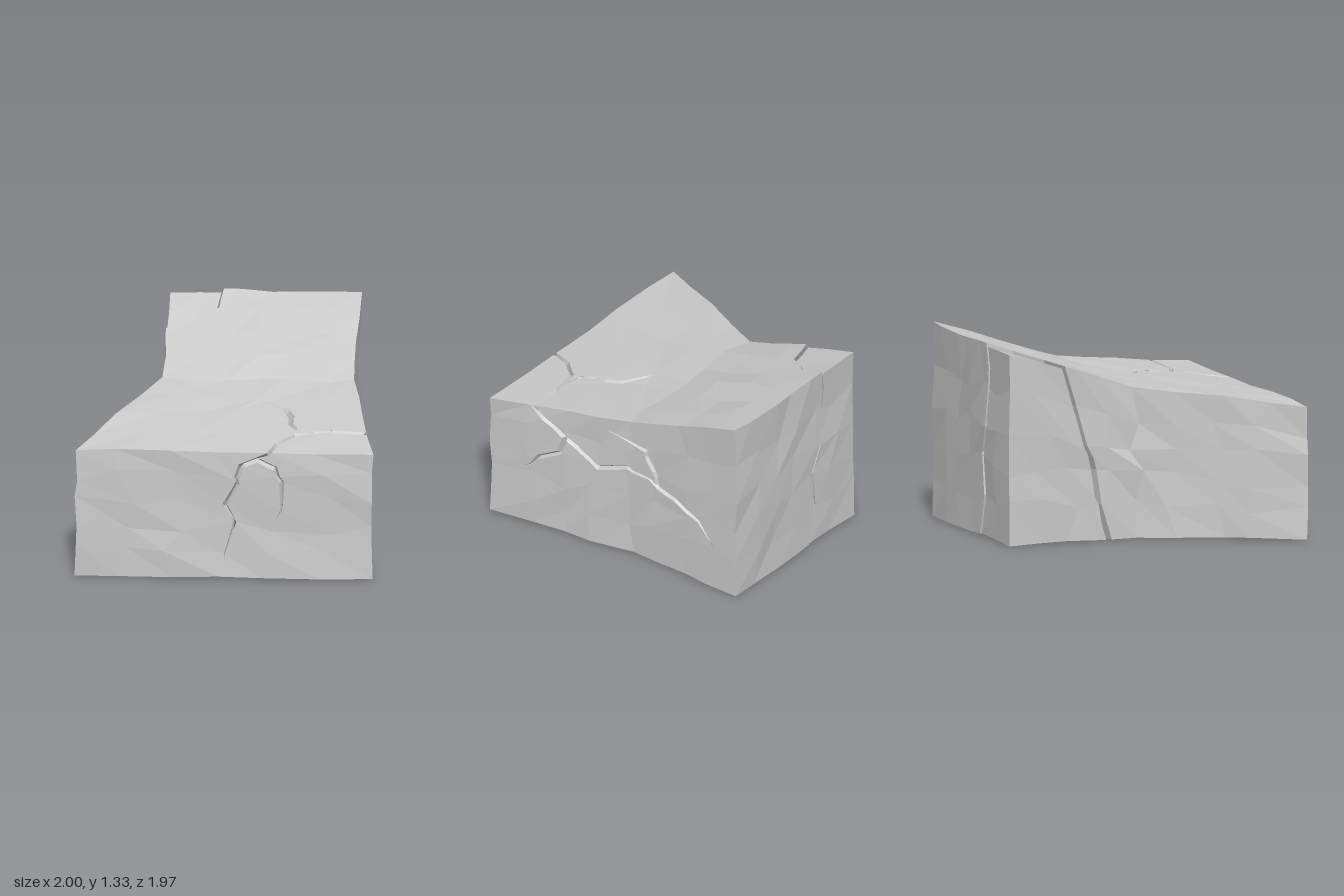
import * as THREE from 'three';

// Block profile at stations along z: left edge, right edge and height
const ZS = [-0.98, -0.75, -0.52, -0.28, -0.07, 0.18, 0.42, 0.68, 0.97];
const LEFT = [-0.47, -0.47, -0.47, -0.47, -0.475, -0.61, -0.73, -0.86, -0.995];
const RIGHT = [0.81, 0.81, 0.81, 0.81, 0.815, 0.86, 0.895, 0.945, 0.995];
const HEIGHT = [1.325, 1.26, 1.185, 1.105, 1.035, 1.0, 0.975, 0.945, 0.91];
const BASE = 0.013, N = [6, 5, 8];
const WIDTH = 0.017, DEPTH = 0.03;

const clamp = THREE.MathUtils.clamp, lerp = THREE.MathUtils.lerp;
const V2 = (x, y) => new THREE.Vector2(x, y);
const V3 = (x, y, z) => new THREE.Vector3(x, y, z);
const noise = (i, j, k, c) => {
  const s = Math.sin(i * 12.99 + j * 78.23 + k * 37.72 + c * 51.13) * 43758.55;
  return (s - Math.floor(s)) * 2 - 1;
};
const sample = (a, k) => {
  const n = clamp(Math.floor(k), 0, 7);
  return lerp(a[n], a[n + 1], k - n);
};

// Lattice node of the uneven block
function node(...c) {
  const p = c.map((v, a) => (v > 0 && v < N[a] ? v + noise(...c, a) * 0.25 : v));
  const [i, j, k] = p;
  const out = [lerp(sample(LEFT, k), sample(RIGHT, k), i / N[0]),
    lerp(BASE, sample(HEIGHT, k), j / N[1]), sample(ZS, k)];
  return V3(...out.map((v, a) => v + (c[a] === 0 || c[a] === N[a] ? noise(...c, a + 5) * 0.01 : 0)));
}

// World position to lattice coordinates
function toLattice([x, y, z]) {
  let n = 0;
  while (n < 7 && z > ZS[n + 1]) n++;
  const k = clamp(n + (z - ZS[n]) / (ZS[n + 1] - ZS[n]), 0, 8);
  const l = sample(LEFT, k), r = sample(RIGHT, k);
  return [clamp((x - l) / (r - l), 0, 1) * N[0],
    clamp((y - BASE) / (sample(HEIGHT, k) - BASE), 0, 1) * N[1], k];
}

// One face of the block: a and b are its in-plane axes
function makeFace(a, b, fixed, value, flip) {
  const at = (u, v) => {
    const c = [0, 0, 0];
    c[a] = u; c[b] = v; c[fixed] = value;
    return node(...c);
  };
  const point = ({ x: u, y: v }) => {
    const m = clamp(Math.floor(u), 0, N[a] - 1), n = clamp(Math.floor(v), 0, N[b] - 1);
    const fu = u - m, fv = v - n, p = at(m + 1, n), q = at(m, n + 1);
    const low = fu + fv <= 1, o = low ? at(m, n) : at(m + 1, n + 1);
    return o.clone().addScaledVector((low ? p : q).sub(o), low ? fu : 1 - fu)
      .addScaledVector((low ? q : p).sub(o), low ? fv : 1 - fv);
  };
  const locate = (x, y) => {
    const w = [0, 0, value ? 0.97 : -0.98];
    w[a] = x; w[b] = y;
    let uv;
    for (let n = 0; n < 6; n++) {
      const l = toLattice(w);
      uv = V2(l[a], l[b]);
      const p = point(uv).toArray();
      w[a] += x - p[a]; w[b] += y - p[b];
    }
    return uv;
  };
  const normal = V3(0, 0, 0).setComponent(fixed, value ? 1 : -1);
  return { a, b, flip, point, locate, normal };
}
const front = makeFace(0, 1, 2, 8, false), back = makeFace(0, 1, 2, 0, true);
const right = makeFace(2, 1, 0, 6, true), left = makeFace(2, 1, 0, 0, false);
const top = makeFace(0, 2, 1, 5, true), bottom = makeFace(0, 2, 1, 0, false);

const tri = (out, p, q, r, flip) => out.push(...(flip ? [p, r, q] : [p, q, r]));

// Split convex polygons along the integer lines of f
function cut(polys, f) {
  return polys.flatMap((poly) => {
    const done = [], vals = poly.map(f);
    const hi = Math.max(...vals);
    let rest = poly;
    for (let c = Math.floor(Math.min(...vals)) + 1; c < hi; c++) {
      const A = [], B = [];
      rest.forEach((p, n) => {
        const q = rest[(n + 1) % rest.length], fp = f(p) - c, fq = f(q) - c;
        if (fp <= 1e-9) A.push(p);
        if (fp >= -1e-9) B.push(p);
        if (Math.abs(fp) > 1e-9 && Math.abs(fq) > 1e-9 && fp * fq < 0) {
          const m = p.clone().lerp(q, fp / (fp - fq));
          A.push(m); B.push(m);
        }
      });
      if (A.length > 2) done.push(A);
      rest = B;
    }
    return rest.length > 2 ? [...done, rest] : done;
  });
}

// Faceted skin of a face inside a contour
function skin(out, face, contour) {
  let polys = THREE.ShapeUtils.triangulateShape(contour.slice(), []).map((t) => {
    const p = t.map((n) => contour[n]);
    return THREE.ShapeUtils.area(p) < 0 ? p.reverse() : p;
  });
  for (const f of [(p) => p.x, (p) => p.y, (p) => p.x + p.y]) polys = cut(polys, f);
  for (const poly of polys) {
    const w = poly.map(face.point);
    for (let n = 1; n < w.length - 1; n++) tri(out, w[0], w[n], w[n + 1], face.flip);
  }
}

// V-shaped crack: walks round the branching line, adds its walls, returns its rim
function crack(out, face, path, branches, startNormal, endNormal) {
  const main = path.map((p) => V2(...p)), walk = [], last = main.length - 1;
  const visit = (n, wantLeft) => {
    walk.push(main[n]);
    const pts = branches[n]?.map((p) => V2(...p));
    if (!pts) return;
    const isLeft = main[n + 1].clone().sub(main[n]).cross(pts[0].clone().sub(main[n])) > 0;
    if (isLeft === wantLeft) walk.push(...pts, ...pts.slice(0, -1).reverse(), main[n]);
  };
  for (let n = 0; n <= last; n++) visit(n, true);
  if (endNormal) walk.push(main[last]);
  for (let n = last - 1; n >= 0; n--) visit(n, false);
  const isEnd = (p) => endNormal && p === main[last];
  const isTip = (n) => n > 0 && n < walk.length - 1 && walk[n - 1].equals(walk[n + 1]) && !isEnd(walk[n]);
  const rim = walk.map((p, n) => {
    let off;
    if (n === 0 || n === walk.length - 1) off = V2(n === 0 ? 1 : -1, 0);
    else if (isEnd(p)) off = V2(0, walk[n + 1] === p ? 1 : -1);
    else if (isTip(n)) off = V2(0, 0);
    else {
      const d1 = p.clone().sub(walk[n - 1]).normalize(), d2 = walk[n + 1].clone().sub(p).normalize();
      const m = V2(-d1.y - d2.y, d1.x + d2.x).normalize();
      off = m.multiplyScalar(1 / Math.max(0.6, m.dot(V2(-d1.y, d1.x))));
    }
    return face.locate(p.x + off.x * WIDTH, p.y + off.y * WIDTH);
  });
  const mid = walk.map((p) => face.locate(p.x, p.y));
  const sink = walk.map((p, n) => {
    const s = face.normal.clone();
    if (p === main[0]) s.add(startNormal);
    if (isEnd(p)) s.add(endNormal);
    return s.multiplyScalar(isTip(n) ? 0 : -DEPTH);
  });
  const STEPS = 6;
  for (let n = 0; n < walk.length - 1; n++) {
    if (walk[n] === walk[n + 1]) continue;
    const edge = (t) => [face.point(rim[n].clone().lerp(rim[n + 1], t)),
      face.point(mid[n].clone().lerp(mid[n + 1], t)).add(sink[n].clone().lerp(sink[n + 1], t))];
    for (let s = 0; s < STEPS; s++) {
      const [o, c] = edge(s / STEPS), [o2, c2] = edge((s + 1) / STEPS);
      tri(out, o, c, c2, face.flip);
      tri(out, o, c2, o2, face.flip);
    }
  }
  return rim;
}

// Fracture wall between the block and its broken corner
function fracture(out, T, B, flip) {
  const end = T.length - 1;
  const at = (n, m) => {
    const t = m / 5;
    if (n === 0) return left.point(V2(lerp(B[0].y, T[0].y, t), m));
    if (n === end) return back.point(V2(lerp(B[end].x, T[end].x, t), m));
    return bottom.point(B[n]).lerp(top.point(T[n]), t);
  };
  for (let n = 0; n < end; n++) for (let m = 0; m < 5; m++) {
    tri(out, at(n, m + 1), at(n + 1, m + 1), at(n + 1, m), flip);
    tri(out, at(n, m + 1), at(n + 1, m), at(n, m), flip);
  }
}

function toMesh(name, points) {
  const geometry = new THREE.BufferGeometry().setFromPoints(points);
  geometry.computeVertexNormals();
  const mesh = new THREE.Mesh(geometry, new THREE.MeshStandardMaterial({ color: 0xcccccc, flatShading: true }));
  mesh.name = name;
  return mesh;
}

export function createModel() {
  const group = new THREE.Group();
  group.name = 'crackedRock';
  const body = [], cracks = [], corner = [];

  // Cracks on the front, top and right faces, joined across the edges
  const frontRim = crack(cracks, front,
    [[0.3, 0.93], [0.22, 0.86], [0.08, 0.72], [0.01, 0.52], [0.005, 0.1]],
    { 1: [[0.34, 0.8], [0.385, 0.7], [0.345, 0.43]] }, top.normal);
  const topRim = crack(cracks, top,
    [[0.3, 0.99], [0.35, 0.82], [0.46, 0.69], [0.58, 0.66], [0.71, 0.648], [0.936, 0.66]],
    { 3: [[0.42, 0.53], [0.39, 0.34], [0.2, 0.19]] }, front.normal, right.normal);
  topRim.forEach((p) => { p.x = Math.min(p.x, 5.99); });
  const rightRim = crack(cracks, right,
    [[0.66, 0.965], [0.57, 0.87], [0.41, 0.765], [0.32, 0.715], [0.17, 0.6], [-0.06, 0.68],
      [-0.31, 0.61], [-0.45, 0.575], [-0.57, 0.51], [-0.81, 0.32]],
    { 2: [[0.45, 0.635], [0.61, 0.55], [0.72, 0.44]], 6: [[-0.215, 0.865], [0.09, 0.922]] }, top.normal);

  // Fracture line of the loose corner on the top and the bottom
  const T = [[-0.6, -0.57], [-0.26, -0.63], [-0.13, -0.8], [-0.11, -1.1]].map((p) => top.locate(...p));
  const B = [[-0.6, -0.23], [-0.265, -0.32], [-0.06, -0.55], [0.02, -1.1]].map((p) => bottom.locate(...p));
  const end = T.length - 1;

  // Main block
  skin(body, front, [V2(0, 0), V2(6, 0), V2(6, 5), ...frontRim, V2(0, 5)]);
  skin(body, right, [V2(0, 0), V2(8, 0), V2(8, 5), ...rightRim, V2(0, 5)]);
  skin(body, top, [...T, V2(6, 0), V2(6, 8), ...topRim, V2(0, 8)]);
  skin(body, bottom, [...B, V2(6, 0), V2(6, 8), V2(0, 8)]);
  skin(body, back, [V2(B[end].x, 0), V2(6, 0), V2(6, 5), V2(T[end].x, 5)]);
  skin(body, left, [V2(B[0].y, 0), V2(8, 0), V2(8, 5), V2(T[0].y, 5)]);
  fracture(body, T, B, false);

  // Broken corner, slightly smaller and sunk behind a narrow gap
  const shrink = (line) => line.map((p) => p.clone().multiplyScalar(0.95));
  const t = shrink(T), b = shrink(B);
  skin(corner, top, [V2(0, 0), ...t.slice().reverse()]);
  skin(corner, bottom, [V2(0, 0), ...b.slice().reverse()]);
  skin(corner, back, [V2(0, 0), V2(b[end].x, 0), V2(t[end].x, 5), V2(0, 5)]);
  skin(corner, left, [V2(0, 0), V2(b[0].y, 0), V2(t[0].y, 5), V2(0, 5)]);
  fracture(corner, t, b, true);
  const loose = toMesh('brokenCorner', corner);
  loose.scale.y = 0.98;
  loose.position.set(0.005, 0, 0.006);

  group.add(toMesh('rockBody', body), toMesh('cracks', cracks), loose);
  return group;
}
